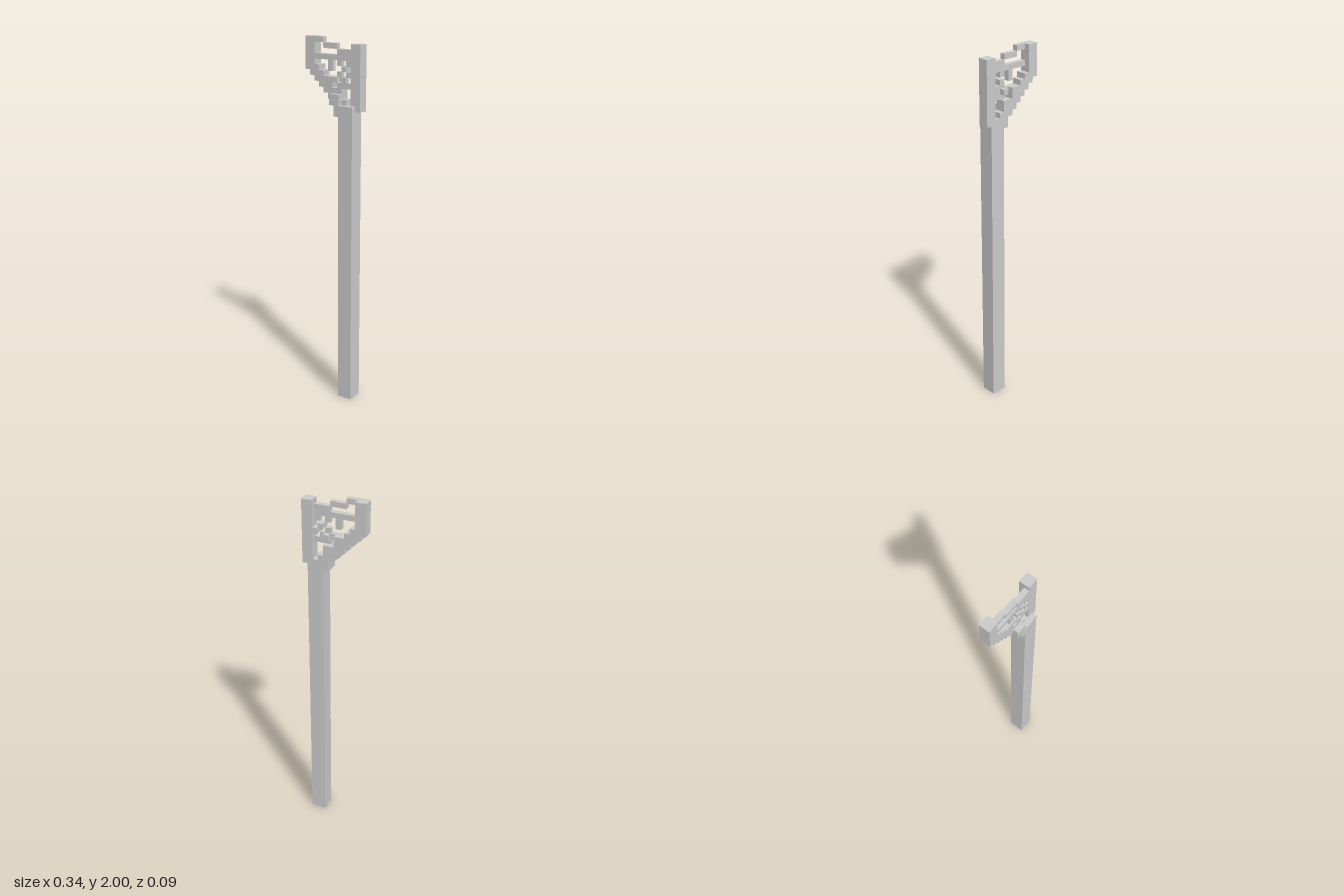
import * as THREE from 'three';

const U = 2 / 70; // one voxel

export function createModel() {
  const model = new THREE.Group();
  const material = new THREE.MeshStandardMaterial({ color: 0xcccccc, flatShading: true });

  // Box between two corners given in voxels
  function block(name, x0, x1, y0, y1, z0, z1, parent = model) {
    const mesh = new THREE.Mesh(
      new THREE.BoxGeometry((x1 - x0) * U, (y1 - y0) * U, (z1 - z0) * U), material);
    mesh.position.set((x0 + x1) / 2 * U, (y0 + y1) / 2 * U, (z0 + z1) / 2 * U);
    mesh.name = name;
    parent.add(mesh);
  }

  // Each run of # in a row of the map becomes one block
  function layer(name, top, rows, z0, z1) {
    const group = new THREE.Group();
    group.name = name;
    rows.forEach((row, i) => {
      for (const run of row.matchAll(/#+/g)) {
        const x = run.index - 6;
        block(name + 'Block', x, x + run[0].length, top - i - 1, top - i, z0, z1, group);
      }
    });
    model.add(group);
  }

  // Long handle and the solid bars on both sides of the head
  block('shaft', 2, 5, 0, 58, -1.5, 1.5);
  block('rightPost', 4, 6, 57, 69, -1.5, 0.5);
  block('outerBar', -6, -4, 64, 70, -1.5, 0.5);

  // Stepped top edge and crossbar, one voxel deep
  layer('topEdge', 70, [
    '..##........',
    '....###.....',
    '.......###..',
    '..########..',
  ], -0.5, 0.5);

  // Pierced lattice between the bars
  layer('lattice', 66, [
    '.....#.#.#..',
    '.....#..#...',
    '.......#.#..',
    '......#.#...',
    '.......###..',
  ], -0.5, 0.5);
  layer('latticeBack', 65, [
    '........#...',
    '.........#..',
    '.......#....',
  ], -1.5, -0.5);

  // Diagonal brace stepping down to the shaft
  layer('brace', 65, [
    '..#.........',
    '.###........',
    '..####......',
    '...###......',
    '....####....',
    '.....###....',
    '......###...',
    '.......#....',
    '.......#....',
  ], -1.5, 0.5);

  // Raised collar in front of the brace
  layer('collar', 60, [
    '......##....',
    '......##....',
    '.......#....',
    '.......#....',
  ], 0.5, 1.5);

  return model;
}
